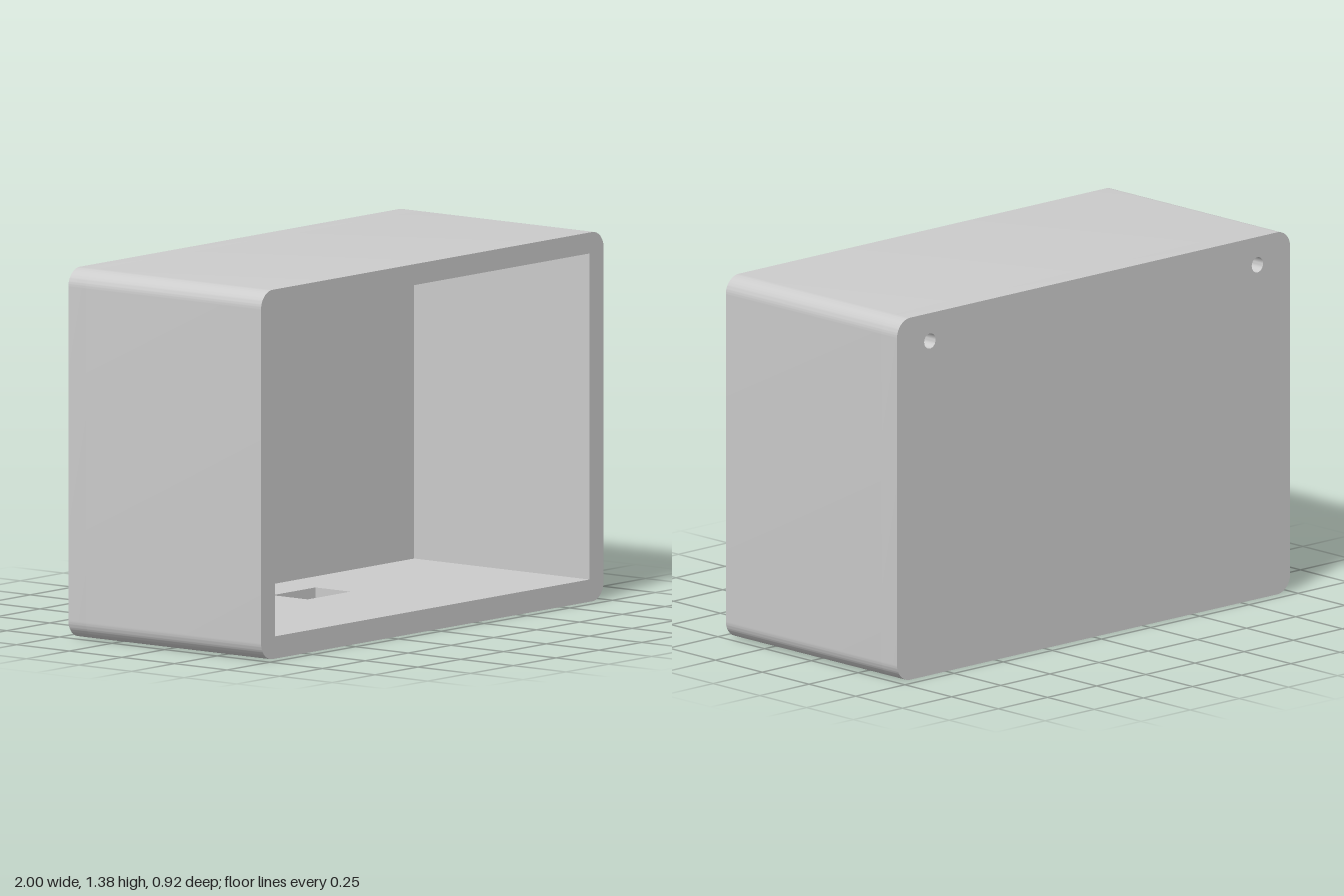
import * as THREE from 'three';
import { toCreasedNormals } from 'three/addons/utils/BufferGeometryUtils.js';

const W = 1, H = 1.376, D = 0.458; // half width, height, half depth
const T = 0.083, R = 0.067;        // wall thickness, corner radius
const TOP = 1.298;                 // underside of the top wall
const BACK = -D + T;               // inner face of the back wall
const IN = W - T;                  // inner half width

const material = new THREE.MeshStandardMaterial({ color: 0xcccccc });

function rectangle(x0, y0, x1, y1, Type = THREE.Shape) {
  const s = new Type();
  s.moveTo(x0, y0);
  s.lineTo(x1, y0);
  s.lineTo(x1, y1);
  s.lineTo(x0, y1);
  s.closePath();
  return s;
}

function extrude(name, shape, depth) {
  const geo = new THREE.ExtrudeGeometry(shape, { depth, bevelEnabled: false, curveSegments: 12 });
  const mesh = new THREE.Mesh(toCreasedNormals(geo, 0.6), material);
  mesh.name = name;
  return mesh;
}

// outer outline from the floor's right end round the top to its left end
function outline() {
  const s = new THREE.Shape();
  s.moveTo(IN, 0);
  s.lineTo(W - R, 0);
  s.absarc(W - R, R, R, -Math.PI / 2, 0);
  s.absarc(W - R, H - R, R, 0, Math.PI / 2);
  s.absarc(-W + R, H - R, R, Math.PI / 2, Math.PI);
  s.absarc(-W + R, R, R, Math.PI, Math.PI * 1.5);
  s.lineTo(-IN, 0);
  return s;
}

export function createModel() {
  const group = new THREE.Group();
  group.name = 'openBox';

  // side walls and top wall in one arch
  const arch = outline();
  arch.lineTo(-IN, TOP);
  arch.lineTo(IN, TOP);
  arch.closePath();
  const walls = extrude('sideAndTopWalls', arch, D - BACK);
  walls.position.z = BACK;

  // floor with the rectangular cable slot (shape y becomes -z)
  const plan = rectangle(-IN, -D, IN, -BACK);
  plan.holes.push(rectangle(-0.125, 0.033, 0.125, 0.2, THREE.Path));
  const floor = extrude('slottedFloor', plan, T);
  floor.rotation.x = -Math.PI / 2;

  // back wall with two hanging holes
  const panel = outline();
  panel.closePath();
  for (const side of [-1, 1]) {
    const hole = new THREE.Path();
    hole.absarc(side * 0.833, 1.27, 0.029, 0, Math.PI * 2, true);
    panel.holes.push(hole);
  }
  const back = extrude('backWall', panel, T);
  back.position.z = -D;

  group.add(walls, floor, back);
  return group;
}
